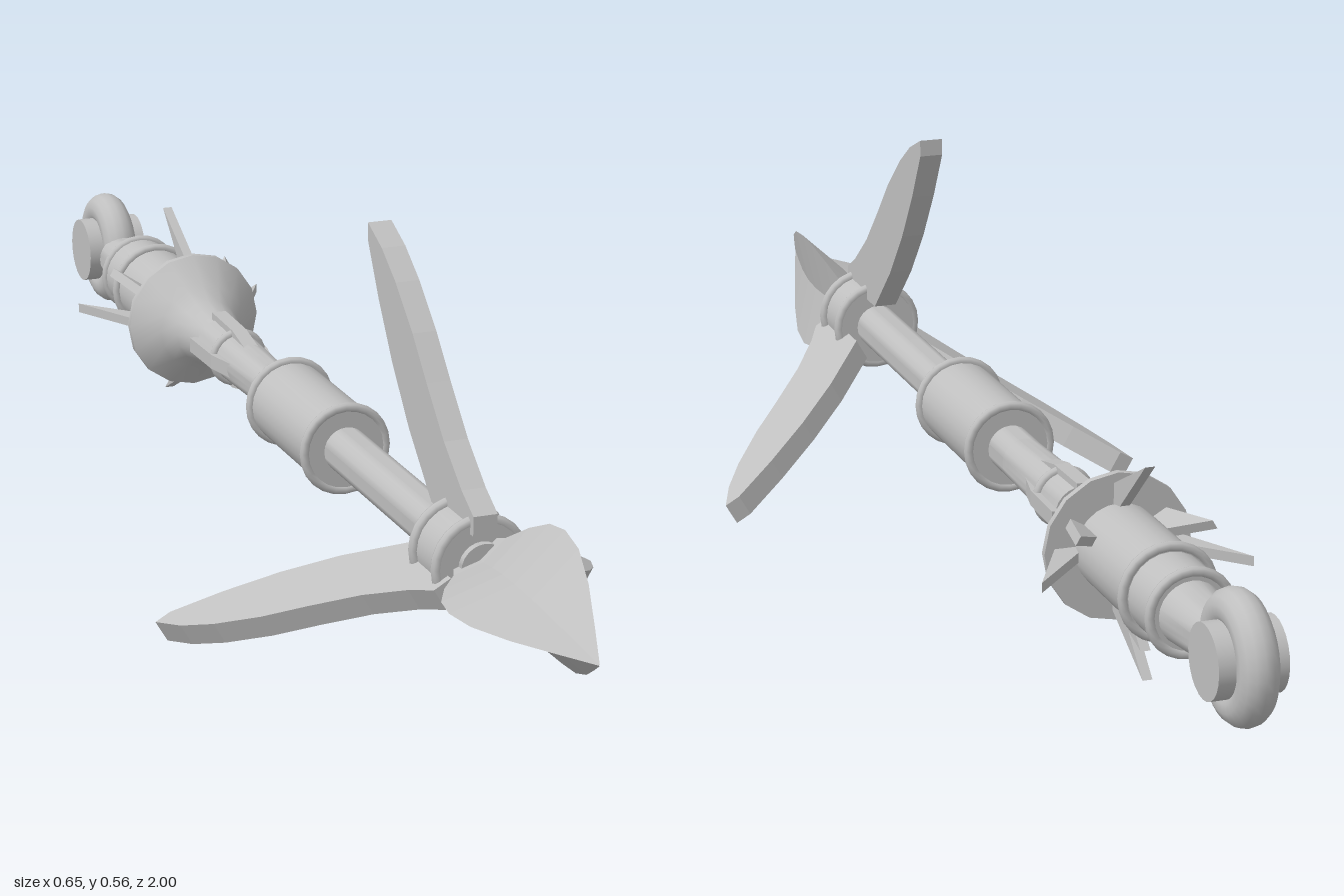
import * as THREE from 'three';
import { toCreasedNormals } from 'three/addons/utils/BufferGeometryUtils.js';

const steel = new THREE.MeshStandardMaterial({ color: 0xbfbfbf });
steel.name = 'steel grey';
const DEG = Math.PI / 180;

// Everything is built around the z axis, which is the axis of the shaft.
function add(parent, name, geometry) {
  const mesh = new THREE.Mesh(geometry, steel);
  mesh.name = name;
  parent.add(mesh);
  return mesh;
}

// Turned part; profile is [z, radius] from back to front
function turned(profile, sides = 24) {
  const pts = profile.map(([z, r]) => new THREE.Vector2(r, z));
  const geo = new THREE.LatheGeometry(pts, sides);
  geo.rotateX(Math.PI / 2);
  return toCreasedNormals(geo, 35 * DEG);
}

function rod(z0, z1, r0, r1 = r0) {
  return turned([[z0, 0], [z0, r0], [z1, r1], [z1, 0]]);
}

// Rounded band around the shaft
function band(z, radius, tube) {
  const geo = new THREE.TorusGeometry(radius, tube, 8, 24);
  geo.translate(0, 0, z);
  return geo;
}

// Flat plate standing on the shaft; outline is [z, radius], angle from the top
function plate(outline, thickness, angle) {
  const shape = new THREE.Shape(outline.map(([z, r]) => new THREE.Vector2(z, r)));
  const geo = new THREE.ExtrudeGeometry(shape, { depth: thickness, bevelEnabled: false });
  geo.translate(0, 0, -thickness / 2);
  geo.rotateY(-Math.PI / 2);
  geo.rotateZ(angle * DEG);
  return geo;
}

// Three-finned point with a star cross-section
function starPoint() {
  const rows = [[0.63, 0.036], [0.66, 0.048], [0.7, 0.078], [0.74, 0.099], [0.78, 0.105],
    [0.83, 0.097], [0.89, 0.07], [0.95, 0.033], [1, 0.001]];
  const ring = ([z, r]) => Array.from({ length: 6 }, (_, i) => {
    const a = (60 + i * 60) * DEG;
    const k = i % 2 ? r * 0.3 : r;
    // even corners are fins, odd corners are the valleys between them
    return [Math.cos(a) * k, Math.sin(a) * k, z];
  });
  const rings = rows.map(ring);
  const pos = [];
  const tri = (a, b, c) => pos.push(...a, ...b, ...c);
  for (let j = 0; j < rings.length - 1; j++) {
    for (let i = 0; i < 6; i++) {
      const n = (i + 1) % 6;
      tri(rings[j][i], rings[j][n], rings[j + 1][n]);
      tri(rings[j][i], rings[j + 1][n], rings[j + 1][i]);
    }
  }
  for (let i = 0; i < 6; i++) {
    tri([0, 0, rows[0][0]], rings[0][(i + 1) % 6], rings[0][i]);
  }
  const geo = new THREE.BufferGeometry();
  geo.setAttribute('position', new THREE.Float32BufferAttribute(pos, 3));
  geo.computeVertexNormals();
  return geo;
}

export function createModel() {
  const model = new THREE.Group();
  model.name = 'grapplingHook';
  const body = new THREE.Group();
  body.name = 'body';
  body.position.y = 0.198;
  model.add(body);

  // Point and shaft
  add(body, 'point', starPoint());
  add(body, 'shaft', rod(-0.42, 0.65, 0.033));

  // Front collar that holds the hooks
  add(body, 'collar', rod(0.55, 0.64, 0.06));
  for (const z of [0.557, 0.633]) add(body, 'collarRim', band(z, 0.061, 0.008));

  // Three swept-back hooks
  const hook = [[0.65, 0.045], [0.65, 0.072], [0.61, 0.095], [0.55, 0.142], [0.49, 0.203],
    [0.44, 0.257], [0.38, 0.31], [0.33, 0.344], [0.28, 0.366], [0.28, 0.342],
    [0.32, 0.27], [0.37, 0.195], [0.43, 0.122], [0.51, 0.045]].reverse();
  for (const a of [0, 120, 240]) add(body, 'hook', plate(hook, 0.034, a));

  // Middle grip
  add(body, 'grip', rod(-0.07, 0.16, 0.06));
  for (const z of [-0.065, 0.155]) add(body, 'gripRim', band(z, 0.061, 0.007));

  // Sleeve with slim darts lying along the shaft
  add(body, 'sleeve', rod(-0.36, -0.13, 0.039, 0.033));
  add(body, 'sleeveRim', band(-0.287, 0.038, 0.007));
  const dart = [[-0.37, 0.02], [-0.21, 0.03], [-0.28, 0.045], [-0.37, 0.047]];
  for (let i = 0; i < 4; i++) add(body, 'dart', plate(dart, 0.022, i * 90));

  // Flared bell
  add(body, 'bell', turned([[-0.497, 0], [-0.497, 0.104], [-0.487, 0.104], [-0.445, 0.068],
    [-0.42, 0.05], [-0.36, 0.036], [-0.36, 0]], 16));

  // Spikes pointing back from the bell
  const spike = [[-0.42, 0.045], [-0.44, 0.06], [-0.608, 0.148], [-0.52, 0.065]].reverse();
  for (let i = 0; i < 4; i++) add(body, 'spike', plate(spike, 0.014, i * 90));
  const smallSpike = [[-0.46, 0.05], [-0.47, 0.075], [-0.6, 0.11], [-0.54, 0.055]].reverse();
  for (const a of [60, 180, 300]) add(body, 'smallSpike', plate(smallSpike, 0.014, a));

  // Rear housing, stepping down toward the ring
  add(body, 'rearHousing', rod(-0.68, -0.49, 0.061));
  add(body, 'rearStep', rod(-0.755, -0.67, 0.057));
  add(body, 'rearBand', band(-0.675, 0.063, 0.007));
  add(body, 'rearBand', band(-0.752, 0.056, 0.007));
  add(body, 'rearNeck', rod(-0.845, -0.75, 0.036, 0.045));

  // Ring and the round plug through it
  const ring = new THREE.TorusGeometry(0.062, 0.027, 14, 32);
  ring.rotateY(Math.PI / 2);
  ring.translate(0, 0, -0.91);
  add(body, 'ring', ring);
  const plug = new THREE.CylinderGeometry(0.05, 0.05, 0.094, 24);
  plug.rotateZ(Math.PI / 2);
  plug.translate(0, 0, -0.91);
  add(body, 'ringPlug', plug);

  return model;
}
